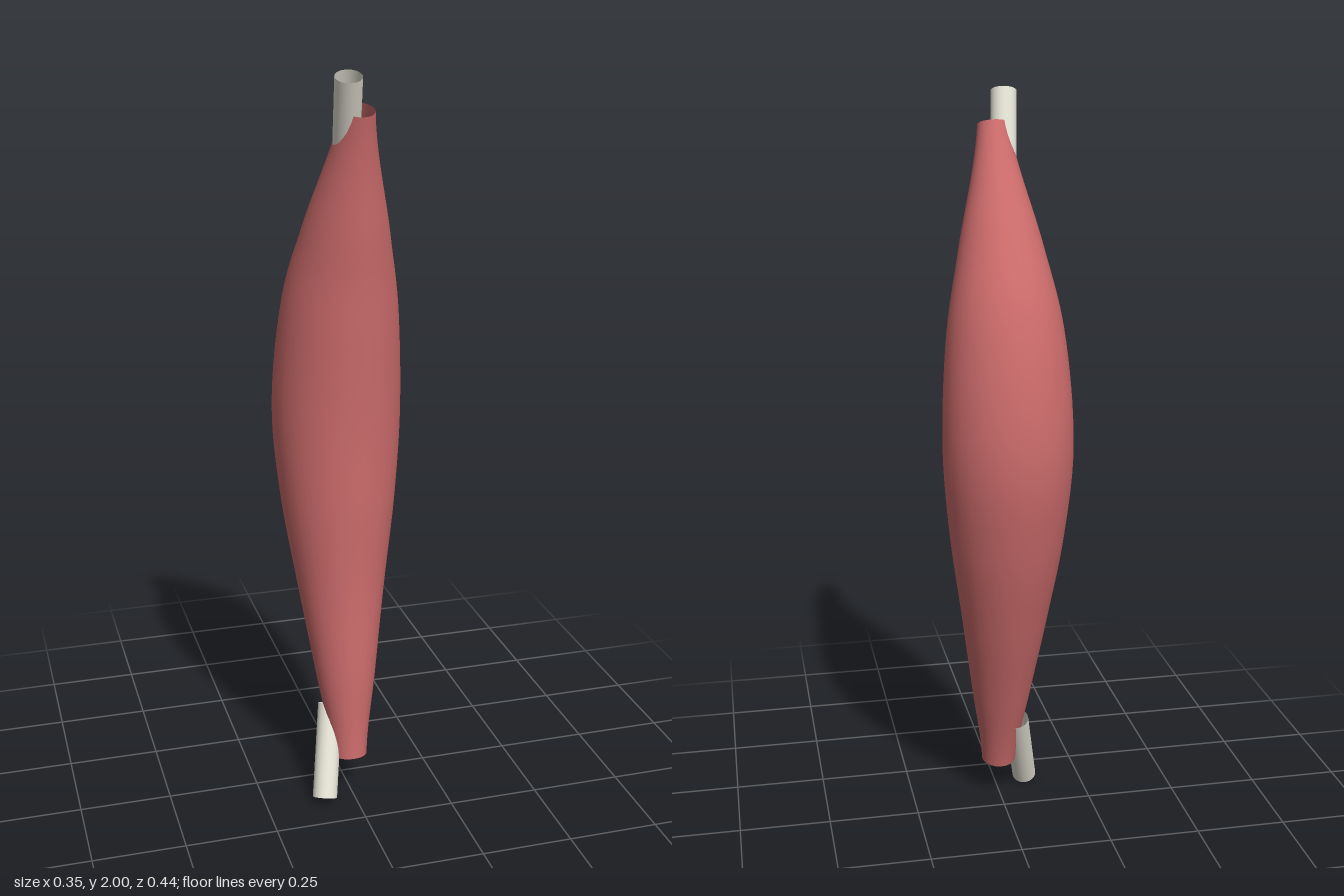
import * as THREE from 'three';
import { mergeVertices } from 'three/addons/utils/BufferGeometryUtils.js';

const muscleMaterial = new THREE.MeshStandardMaterial({ color: 0xcc6b6b, side: THREE.DoubleSide });
const tendonMaterial = new THREE.MeshStandardMaterial({ color: 0xe4e1d4, side: THREE.DoubleSide });

// Belly stations, bottom to top: height, depth of the centre line, radius
const STATIONS = [
  [0.11, 0.088, 0.048],
  [0.35, 0.047, 0.083],
  [0.6, 0.0, 0.12],
  [0.85, -0.034, 0.156],
  [1.1, -0.05, 0.173],
  [1.38, -0.014, 0.155],
  [1.6, 0.05, 0.111],
  [1.905, 0.156, 0.041],
];

// Open tube along a bowed spine, swelling towards the middle
function createBelly() {
  const rings = 48, sides = 32;
  const spine = new THREE.CatmullRomCurve3(
    STATIONS.map(([y, z]) => new THREE.Vector3(0, y, z)), false, 'catmullrom');
  const girth = new THREE.SplineCurve(STATIONS.map(([y, , r]) => new THREE.Vector2(y, r)));
  let geometry = new THREE.TubeGeometry(spine, rings, 1, sides, false);
  const pos = geometry.attributes.position;
  const p = new THREE.Vector3();
  for (let i = 0; i <= rings; i++) {
    const centre = spine.getPointAt(i / rings);
    const radius = girth.getPoint(spine.getUtoTmapping(i / rings)).y;
    for (let j = 0; j <= sides; j++) {
      const k = i * (sides + 1) + j;
      p.fromBufferAttribute(pos, k).sub(centre).multiplyScalar(radius).add(centre);
      pos.setXYZ(k, p.x, p.y, p.z);
    }
  }
  // Weld the seam so the shading is continuous around the tube
  geometry.deleteAttribute('uv');
  geometry.deleteAttribute('normal');
  geometry = mergeVertices(geometry, 1e-5);
  geometry.computeVertexNormals();
  const mesh = new THREE.Mesh(geometry, muscleMaterial);
  mesh.name = 'muscleBelly';
  return mesh;
}

// Straight open cylinder between an outer end and a point inside the belly
function createTendon(name, outer, inner) {
  const path = new THREE.LineCurve3(new THREE.Vector3(...outer), new THREE.Vector3(...inner));
  const mesh = new THREE.Mesh(new THREE.TubeGeometry(path, 1, 0.034, 24, false), tendonMaterial);
  mesh.name = name;
  return mesh;
}

export function createModel() {
  const group = new THREE.Group();
  group.name = 'muscle';
  group.add(
    createBelly(),
    createTendon('upperTendon', [-0.035, 1.987, 0.19], [-0.02, 1.8, 0.115]),
    createTendon('lowerTendon', [-0.088, 0.017, 0.146], [-0.043, 0.25, 0.04]),
  );
  return group;
}
